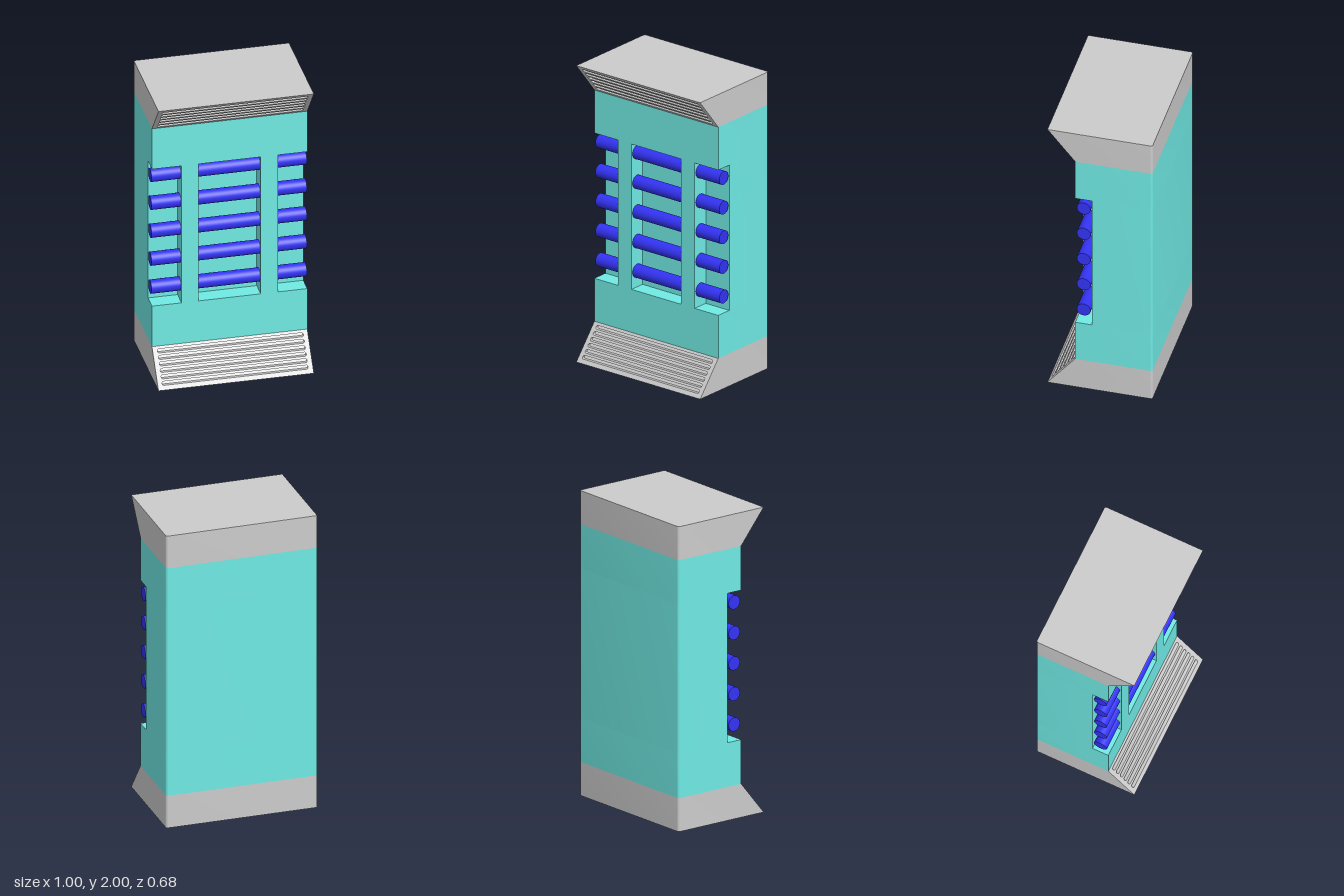
import * as THREE from 'three';
import { toCreasedNormals } from 'three/addons/utils/BufferGeometryUtils.js';

const BACK = -0.34, FRONT = 0.16, LIP = 0.34, CAP_H = 0.22, GROOVE = 0.02, R = 0.012;

export function createModel() {
  const grey = new THREE.MeshStandardMaterial({ color: 0xcccccc });
  const teal = new THREE.MeshStandardMaterial({ color: 0x70eae4 });
  const blue = new THREE.MeshStandardMaterial({ color: 0x3333f5 });
  const model = new THREE.Group();
  model.name = 'tower';

  const add = (parent, name, geometry, material) => {
    const mesh = new THREE.Mesh(geometry, material);
    mesh.name = name;
    parent.add(mesh);
    return mesh;
  };

  // Floor plan with softly rounded back corners (shape y is -z)
  const plan = (front) => {
    const s = new THREE.Shape();
    s.moveTo(-0.5, -front);
    s.lineTo(0.5, -front);
    s.lineTo(0.5, -BACK - R);
    s.absarc(0.5 - R, -BACK - R, R, 0, Math.PI / 2);
    s.absarc(-0.5 + R, -BACK - R, R, Math.PI / 2, Math.PI);
    s.closePath();
    return s;
  };
  const slab = (front, y0, y1) =>
    new THREE.ExtrudeGeometry(plan(front), { depth: y1 - y0, bevelEnabled: false, curveSegments: 4 })
      .rotateX(-Math.PI / 2).translate(0, y0, 0);

  // Body: solid ends, with a recessed middle and two posts
  const recessZ = 0.05, low = 0.51, high = 1.49;
  const body = new THREE.Group();
  body.name = 'body';
  model.add(body);
  add(body, 'lowerBody', toCreasedNormals(slab(FRONT, CAP_H, low), 0.6), teal);
  add(body, 'recessedBody', toCreasedNormals(slab(recessZ, low, high), 0.6), teal);
  add(body, 'upperBody', toCreasedNormals(slab(FRONT, high, 2 - CAP_H), 0.6), teal);
  for (const side of [-1, 1]) {
    const post = add(body, side > 0 ? 'leftPost' : 'rightPost',
      new THREE.BoxGeometry(0.11, high - low, FRONT - recessZ), teal);
    post.position.set(side * 0.255, 1, (FRONT + recessZ) / 2);
  }

  // Horizontal bars running through the posts
  const barGeometry = new THREE.CylinderGeometry(0.045, 0.045, 1, 32).rotateZ(Math.PI / 2);
  for (let i = 0; i < 5; i++) {
    add(model, 'bar', barGeometry, blue).position.set(0, 0.62 + i * 0.2, 0.105);
  }

  // Cap core: the plan slab with its lower front edge pulled forward
  const core = slab(FRONT - GROOVE, 0, CAP_H);
  const cp = core.attributes.position;
  for (let i = 0; i < cp.count; i++) {
    if (cp.getZ(i) > 0.1 && cp.getY(i) < 0.1) cp.setZ(i, LIP - GROOVE);
  }
  core.computeVertexNormals();

  // Grille: a slotted plate sheared to follow the slope
  const face = new THREE.Shape();
  face.moveTo(-0.5, 0);
  face.lineTo(0.5, 0);
  face.lineTo(0.5, CAP_H);
  face.lineTo(-0.5, CAP_H);
  face.closePath();
  const slotR = 0.01, slotX = 0.46;
  for (let i = 0; i < 6; i++) {
    const y = 0.034 + i * 0.0322;
    const slot = new THREE.Path();
    slot.absarc(slotX, y, slotR, -Math.PI / 2, Math.PI / 2);
    slot.absarc(-slotX, y, slotR, Math.PI / 2, Math.PI * 1.5);
    slot.closePath();
    face.holes.push(slot);
  }
  const grille = new THREE.ExtrudeGeometry(face, { depth: GROOVE, bevelEnabled: false, curveSegments: 6 });
  const gp = grille.attributes.position;
  for (let i = 0; i < gp.count; i++) {
    const slope = LIP - (LIP - FRONT) * gp.getY(i) / CAP_H;
    gp.setZ(i, gp.getZ(i) - GROOVE + slope);
  }
  grille.computeVertexNormals();

  // Base cap, and the same cap turned over on top
  for (const name of ['baseCap', 'topCap']) {
    const cap = new THREE.Group();
    cap.name = name;
    add(cap, 'capCore', toCreasedNormals(core, 0.6), grey);
    add(cap, 'grille', toCreasedNormals(grille, 0.6), grey);
    if (name === 'topCap') {
      cap.rotation.z = Math.PI;
      cap.position.y = 2;
    }
    model.add(cap);
  }
  return model;
}
